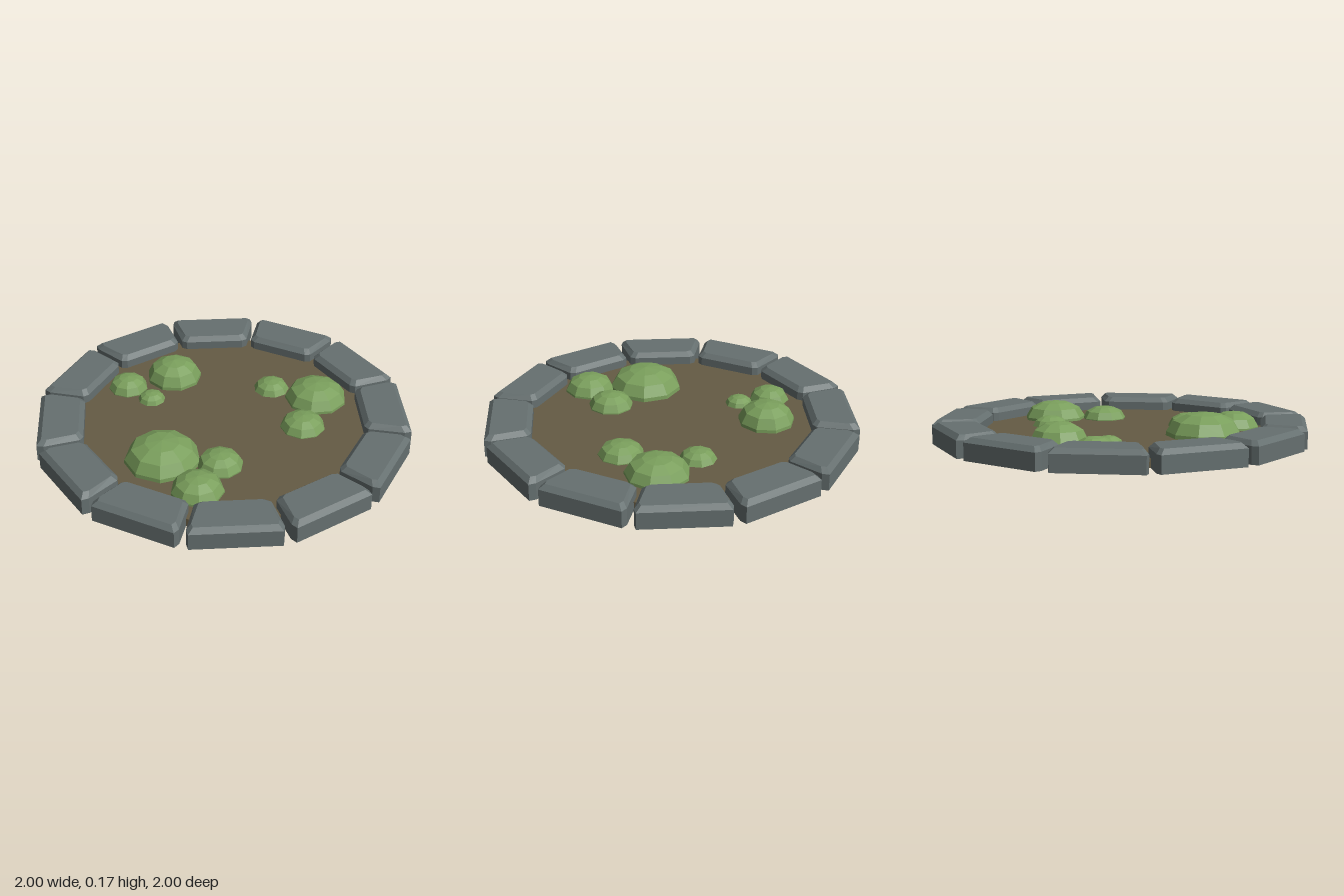
import * as THREE from 'three';

const mat = (color) => new THREE.MeshStandardMaterial({
  color, flatShading: true, side: THREE.DoubleSide, roughness: 1,
});

// Kerb stone outline: [half width, distance from the centre], mirrored in x
const HALF = [[0.226, 0.974], [0.234, 0.937], [0.188, 0.752], [0.16, 0.735]];
const OUTLINE = [...HALF, ...HALF.slice().reverse().map(([x, z]) => [-x, z])];

// Hollow stone: straight wall, chamfered shoulder, flat top, open underneath
function stoneGeometry() {
  const mid = 0.855;
  const ring = (y, sx, sz) =>
    OUTLINE.map(([x, z]) => [x * sx, y, mid + (z - mid) * sz]);
  const rings = [ring(0, 1, 1), ring(0.09, 1, 1), ring(0.115, 0.89, 0.79)];
  const pos = [];
  const n = OUTLINE.length;
  for (let i = 0; i < n; i++) {
    const j = (i + 1) % n;
    for (let k = 0; k < rings.length - 1; k++) {
      const [a, b] = [rings[k], rings[k + 1]];
      pos.push(...a[i], ...a[j], ...b[j], ...a[i], ...b[j], ...b[i]);
    }
    const top = rings[rings.length - 1];
    pos.push(0, 0.115, mid, ...top[i], ...top[j]);
  }
  const geo = new THREE.BufferGeometry();
  geo.setAttribute('position', new THREE.Float32BufferAttribute(pos, 3));
  geo.computeVertexNormals();
  return geo;
}

// Unit dome with an open base
function domeGeometry() {
  const profile = [[1, 0], [0.98, 0.32], [0.8, 0.7], [0.45, 0.92], [0, 1]];
  return new THREE.LatheGeometry(profile.map(([x, y]) => new THREE.Vector2(x, y)), 9);
}

export function createModel() {
  const model = new THREE.Group();
  const add = (name, geo, material, parent = model) => {
    const mesh = new THREE.Mesh(geo, material);
    mesh.name = name;
    parent.add(mesh);
    return mesh;
  };

  // Soil bed: shallow lid with a rim, open underneath
  const soilProfile = [[0.835, 0], [0.835, 0.045], [0, 0.045]]
    .map(([x, y]) => new THREE.Vector2(x, y));
  add('soilBed', new THREE.LatheGeometry(soilProfile, 24), mat(0x655b44));

  // Ring of kerb stones
  const kerb = new THREE.Group();
  kerb.name = 'stoneKerb';
  model.add(kerb);
  const stone = stoneGeometry();
  const stoneMat = mat(0x667070);
  for (let i = 0; i < 12; i++) {
    add('kerbStone', stone, stoneMat, kerb).rotation.y = (i + 0.5) * Math.PI / 6;
  }

  // Bushes in three clumps: x, z, radius, top height
  const bushes = new THREE.Group();
  bushes.name = 'bushes';
  model.add(bushes);
  const dome = domeGeometry();
  const leafMat = mat(0x7a9f5c);
  const base = 0.018;
  [
    [-0.005, 0.46, 0.2, 0.168], [0.245, 0.3, 0.123, 0.122], [0.3, 0.53, 0.138, 0.135],
    [0.24, -0.5, 0.17, 0.147], [-0.005, -0.415, 0.1, 0.1], [0.35, -0.245, 0.123, 0.115],
    [-0.49, -0.145, 0.153, 0.156], [-0.61, 0.1, 0.11, 0.115], [-0.43, 0.1, 0.078, 0.09],
  ].forEach(([x, z, r, top], i) => {
    const bush = add('bush', dome, leafMat, bushes);
    bush.position.set(x, base, z);
    bush.scale.set(r, top - base, r);
    bush.rotation.y = i * 0.4;
  });

  return model;
}
